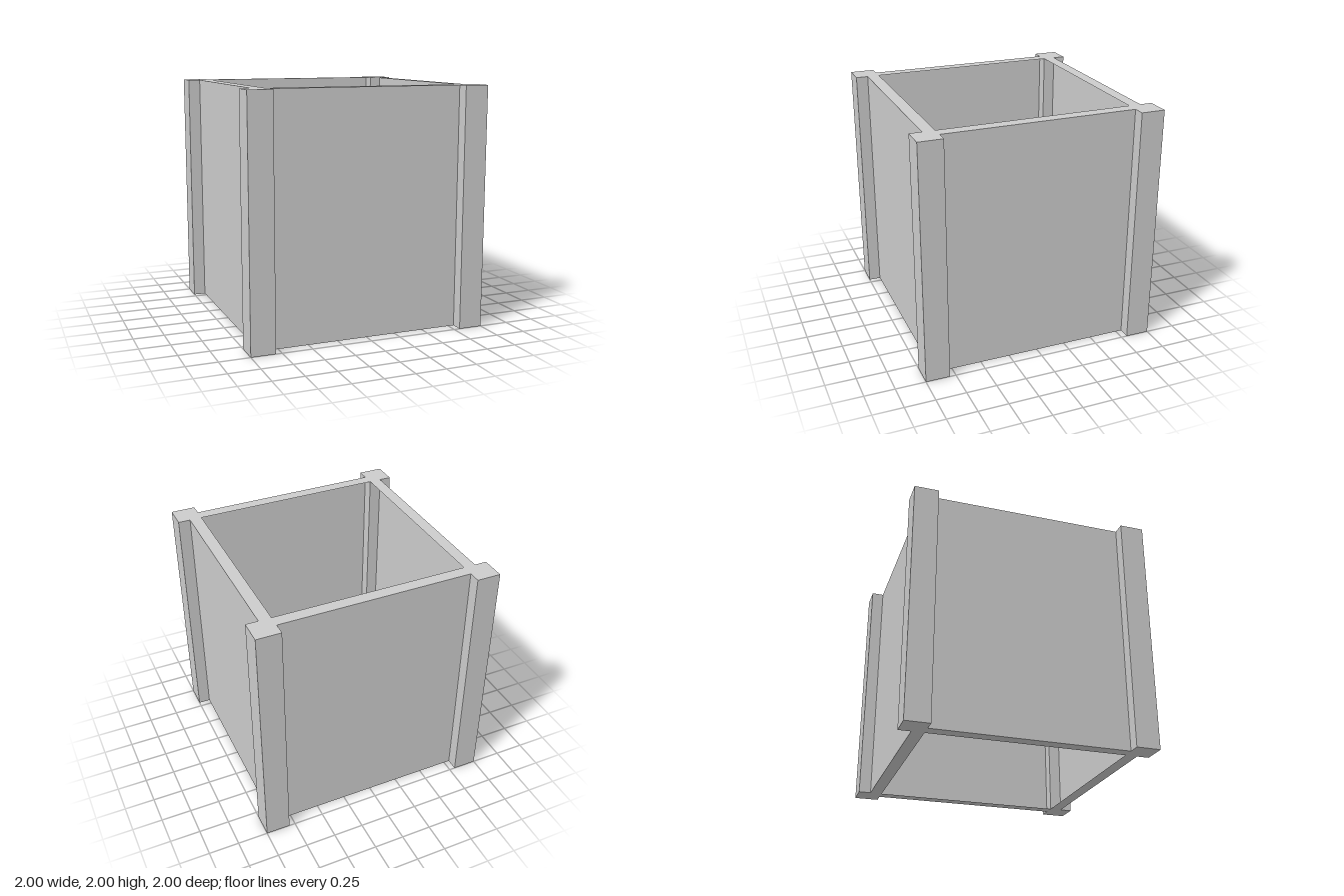
import * as THREE from 'three';

const HEIGHT = 2, POST = 0.2, SPAN = 1.6, LIP = 0.1, WALL_AT = 0.9;

export function createModel() {
  const model = new THREE.Group();
  const solid = new THREE.MeshStandardMaterial({ color: 0xcccccc, flatShading: true });
  const sheet = new THREE.MeshStandardMaterial({
    color: 0xcccccc, flatShading: true, side: THREE.DoubleSide,
  });

  // Square corner posts
  const postGeometry = new THREE.BoxGeometry(POST, HEIGHT, POST);
  for (const x of [-1, 1]) {
    for (const z of [-1, 1]) {
      const post = new THREE.Mesh(postGeometry, solid);
      post.name = 'cornerPost';
      post.position.set(x * 0.9, HEIGHT / 2, z * 0.9);
      model.add(post);
    }
  }

  // Wall panels: a thin outer sheet with inward lips at top and bottom, open inside
  const faceGeometry = new THREE.PlaneGeometry(SPAN, HEIGHT);
  const topLip = new THREE.PlaneGeometry(SPAN, LIP).rotateX(-Math.PI / 2);
  const bottomLip = new THREE.PlaneGeometry(SPAN, LIP).rotateX(Math.PI / 2);
  ['front', 'left', 'back', 'right'].forEach((side, i) => {
    const wall = new THREE.Group();
    wall.name = side + 'Wall';
    const add = (name, geometry, y, z) => {
      const mesh = new THREE.Mesh(geometry, sheet);
      mesh.name = name;
      mesh.position.set(0, y, z);
      wall.add(mesh);
    };
    add('panel', faceGeometry, HEIGHT / 2, WALL_AT);
    add('topLip', topLip, HEIGHT, WALL_AT - LIP / 2);
    add('bottomLip', bottomLip, 0, WALL_AT - LIP / 2);
    wall.rotation.y = i * Math.PI / 2;
    model.add(wall);
  });

  return model;
}
